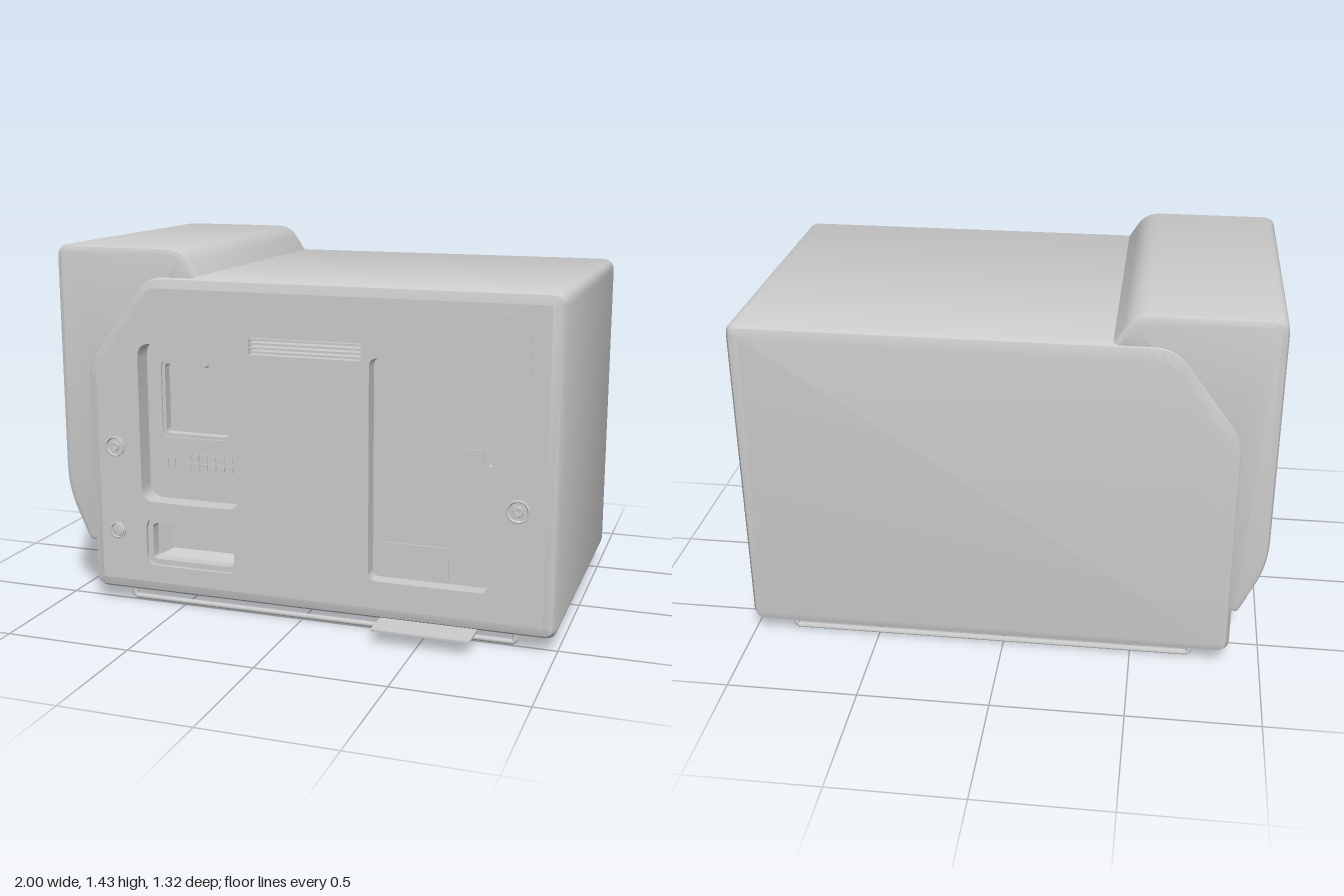
import * as THREE from 'three';
import { toCreasedNormals } from 'three/addons/utils/BufferGeometryUtils.js';

const grey = new THREE.MeshStandardMaterial({ color: 0xcccccc, side: THREE.DoubleSide });
const FRONT = 0.56, BACK = -0.66, FLOOR = 0.43;

// Move counter-clockwise corners [x, y, radius] inward by d
function inset(pts, d) {
  return pts.map(([x, y, r], i) => {
    const [ax, ay] = pts[(i + pts.length - 1) % pts.length];
    const [bx, by] = pts[(i + 1) % pts.length];
    const n1 = new THREE.Vector2(ay - y, x - ax).normalize();
    const n2 = new THREE.Vector2(y - by, bx - x).normalize();
    const k = d / (1 + n1.dot(n2));
    return [x + (n1.x + n2.x) * k, y + (n1.y + n2.y) * k, Math.max(r - d, 0.004)];
  });
}

// Closed outline with softened corners
function outline(pts, Type = THREE.Shape) {
  const s = new Type();
  pts.forEach(([x, y, r = 0], i) => {
    const p = new THREE.Vector2(x, y);
    const toward = (q) => new THREE.Vector2(q[0], q[1]).sub(p).setLength(r).add(p);
    const a = toward(pts[(i + pts.length - 1) % pts.length]);
    const b = toward(pts[(i + 1) % pts.length]);
    if (i === 0) s.moveTo(a.x, a.y); else s.lineTo(a.x, a.y);
    if (r) s.quadraticCurveTo(x, y, b.x, b.y);
  });
  s.closePath();
  return s;
}

const rect = (x0, x1, y0, y1, r = 0) => [[x0, y0, r], [x1, y0, r], [x1, y1, r], [x0, y1, r]];

// Extrude between two depths, with an optional chamfer kept inside the outline
function slab(pts, z0, z1, { holes = [], size = 0, thick = size } = {}) {
  const shape = outline(pts);
  shape.holes = holes.map((h) => outline(h, THREE.Path));
  const g = new THREE.ExtrudeGeometry(shape, {
    depth: z1 - z0 - 2 * thick, curveSegments: 6, bevelEnabled: size > 0,
    bevelSize: size, bevelThickness: thick, bevelOffset: -size, bevelSegments: 2,
  });
  return g.translate(0, 0, z0 + thick);
}

// Drop the front cap so that a pierced face can take its place
function openFront(geometry, z) {
  const p = geometry.attributes.position, keep = [];
  for (let i = 0; i < p.count; i += 3) {
    if (Math.min(p.getZ(i), p.getZ(i + 1), p.getZ(i + 2)) > z - 1e-4) continue;
    for (let j = i; j < i + 3; j++) keep.push(p.getX(j), p.getY(j), p.getZ(j));
  }
  return new THREE.BufferGeometry().setAttribute('position', new THREE.Float32BufferAttribute(keep, 3));
}

export function createModel() {
  const model = new THREE.Group();
  model.name = 'countertopMachine';
  const add = (name, g, crease = 0.6) => {
    const m = new THREE.Mesh(toCreasedNormals(g, crease), grey);
    m.name = name;
    model.add(m);
    return m;
  };
  const box = (name, x0, x1, y0, y1, z0, z1) => add(name,
    new THREE.BoxGeometry(x1 - x0, y1 - y0, z1 - z0)
      .translate((x0 + x1) / 2, (y0 + y1) / 2, (z0 + z1) / 2));

  // Housing with chamfered front and back edges
  const body = [[-0.88, 0.055, 0.05], [1, 0.055, 0.05], [1, 1.33, 0.05], [-0.62, 1.33, 0.08], [-0.88, 0.98, 0.08]];
  add('housing', openFront(slab(body, BACK, FRONT, { size: 0.05, thick: 0.035 }), FRONT));

  // Front face with its pockets
  const windowRim = rect(-0.65, -0.23, 0.435, 1.067, 0.06);
  const drawerRim = rect(-0.635, -0.245, 0.175, 0.368, 0.045);
  const doorRim = rect(0.287, 0.75, 0.212, 1.062, 0.035);
  const ventRim = rect(-0.187, 0.255, 1.047, 1.112);
  add('frontFace', slab(inset(body, 0.049), FLOOR, FRONT, { holes: [windowRim, drawerRim, doorRim, ventRim] }));
  add('pocketFloor', slab(inset(body, 0.06), FLOOR - 0.01, FLOOR + 0.002));

  // Side cover that rises above the housing
  const cover = [[-0.8, 0.24, 0], [-0.8, 0.95, 0], [-0.55, 1.25, 0], [-0.38, 1.3, 0], [-0.465, 1.435, 0.06],
    [-1, 1.435, 0.05], [-1, 0.45, 0.1], [-0.905, 0.24, 0.01]].reverse();
  add('sideCover', slab(cover, -0.645, 0.54, { size: 0.025 }));

  // Sunken control panel with a square opening and a hanging tab
  const opening = rect(-0.59, -0.295, 0.685, 0.99, 0.03);
  add('controlPanel', slab(windowRim, FLOOR, 0.48, { holes: [opening] }));
  add('openingFrame', slab(opening, FLOOR, 0.472, { holes: [inset(opening, 0.013)] }));
  add('openingTab', slab([[-0.47, 0.965, 0], [-0.41, 0.965, 0], [-0.385, 0.985, 0], [-0.495, 0.985, 0]], FLOOR, 0.474));
  for (let i = 0; i < 6; i++) {
    const x = -0.495 + i * 0.036;
    box('controlKey', x, x + 0.024, 0.56, 0.585, 0.47, 0.486);
    box('controlKey', x, x + 0.024, 0.598, 0.622, 0.47, 0.486);
  }
  for (const x of [-0.585, -0.555]) box('indicator', x, x + 0.018, 0.565, 0.6, 0.47, 0.486);

  // Pull recess: stepped rim with a sloping ledge
  const pull = inset(drawerRim, 0.022);
  add('pullFrame', slab(drawerRim, FLOOR, 0.545, { holes: [pull] }));
  const ledge = new THREE.BufferGeometry();
  const ring = [[-0.613, -0.267, 0.197, 0.346, 0.5], [-0.575, -0.305, 0.215, 0.325, FLOOR + 0.01]];
  const corner = ([x0, x1, y0, y1, z]) => [[x0, y0, z], [x1, y0, z], [x1, y1, z], [x0, y1, z]];
  const [outer, inner] = ring.map(corner);
  const faces = [];
  for (let i = 0; i < 4; i++) {
    const j = (i + 1) % 4;
    faces.push(...outer[i], ...outer[j], ...inner[j], ...outer[i], ...inner[j], ...inner[i]);
  }
  ledge.setAttribute('position', new THREE.Float32BufferAttribute(faces, 3));
  add('pullLedge', ledge);

  // Service door with a label plate and a small latch
  add('door', slab(inset(doorRim, 0.006), FLOOR, 0.515));
  box('doorPlate', 0.333, 0.588, 0.238, 0.357, 0.51, 0.521);
  box('doorLatch', 0.64, 0.71, 0.705, 0.74, 0.51, 0.522);
  box('doorCatch', 0.738, 0.748, 0.57, 0.69, 0.51, 0.55);

  // Vent slats
  for (let i = 0; i < 4; i++) {
    const y = 1.052 + i * 0.016;
    box('ventSlat', -0.187, 0.255, y, y + 0.008, 0.49, 0.553);
  }

  // Corner badge plate
  add('cornerPlate', slab([[0.8, 1.02, 0], [0.883, 1.02, 0], [0.883, 1.25, 0.08], [0.67, 1.25, 0], [0.67, 1.14, 0]], 0.55, 0.564));

  // Round buttons and lock
  const knob = (name, x, y, r, dished) => {
    const profile = [[r, 0], [r, 0.006], [r * 0.85, 0.008], [r * 0.75, 0.001],
      ...(dished ? [[r * 0.45, 0.001], [r * 0.4, 0.006], [r * 0.2, 0.006], [0, 0.002]] : [[r * 0.7, 0.006], [0, 0.007]])];
    add(name, new THREE.LatheGeometry(profile.map(([a, b]) => new THREE.Vector2(a, b)), 28)
      .rotateX(Math.PI / 2).translate(x, y, FRONT));
  };
  knob('upperButton', -0.76, 0.65, 0.042, true);
  knob('lowerButton', -0.76, 0.306, 0.034, false);
  knob('lock', 0.85, 0.535, 0.045, true);

  // Bent wire rails and tray brackets
  const wire = (name, pts, r) => {
    const path = new THREE.CurvePath();
    const v = pts.map((p) => new THREE.Vector3(...p));
    let from = v[0];
    for (let i = 1; i < v.length - 1; i++) {
      const a = v[i - 1].clone().sub(v[i]).setLength(0.014).add(v[i]);
      const b = v[i + 1].clone().sub(v[i]).setLength(0.014).add(v[i]);
      path.add(new THREE.LineCurve3(from, a));
      path.add(new THREE.QuadraticBezierCurve3(a, v[i], b));
      from = b;
    }
    path.add(new THREE.LineCurve3(from, v[v.length - 1]));
    add(name, new THREE.TubeGeometry(path, 160, r, 10), 1);
  };
  for (const z of [0.49, -0.595]) {
    wire('footRail', [[-0.73, 0.07, z], [-0.73, 0.011, z], [0.84, 0.011, z], [0.84, 0.07, z]], 0.011);
  }
  for (const x of [0.36, 0.68]) {
    wire('trayBracket', [[x, 0.07, 0.49], [x, 0.038, 0.49], [x, 0.038, 0.61], [x, 0.056, 0.61]], 0.009);
  }

  // Thin front tray
  const tray = slab(rect(0.328, 0.705, -0.662, -0.5, 0.015), 0, 0.008).rotateX(-Math.PI / 2).translate(0, 0.053, 0);
  add('frontTray', tray);

  return model;
}
